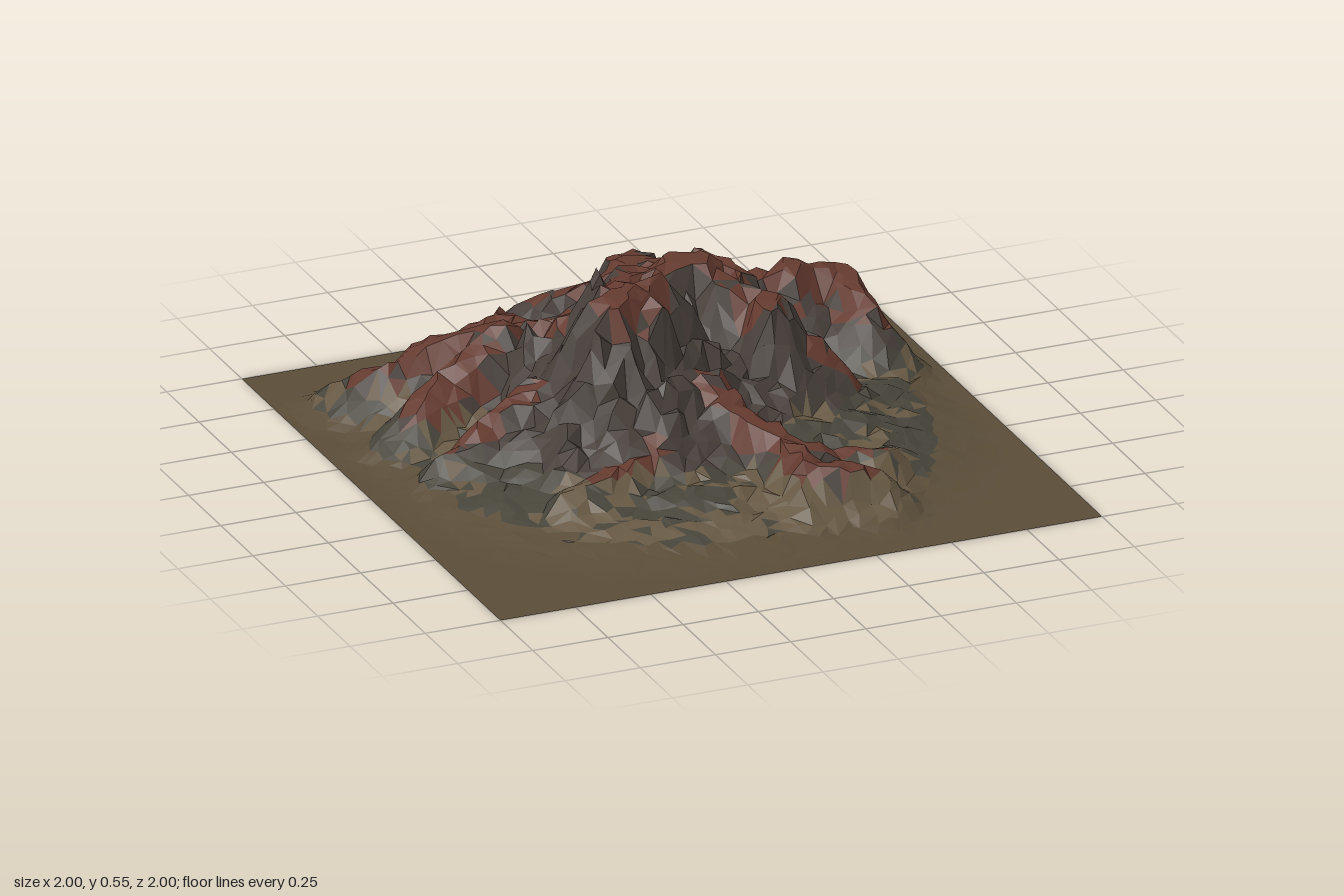
import * as THREE from 'three';

const N = 50; // grid cells per side

// Ridge lines as x, z, height; flanks follow from the height
const RIDGES = [
  [[-0.14, -0.02, 0.545], [-0.11, -0.1, 0.545]],                        // main summit
  [[-0.1, -0.17, 0.46], [0.1, -0.36, 0.45], [0.24, -0.38, 0.45]],       // second summit
  [[0.3, -0.45, 0.41], [0.34, -0.1, 0.4], [0.6, 0.02, 0.13]],           // right shoulder
  [[0.16, -0.4, 0.4], [0.12, -0.62, 0.37], [0.2, -0.76, 0.32]],         // back spine
  [[0.05, -0.6, 0.35], [-0.22, -0.76, 0.2]],
  [[0.3, -0.45, 0.36], [0.46, -0.55, 0.28], [0.6, -0.5, 0.31], [0.78, -0.5, 0.28], [0.8, -0.3, 0.23]], // right hills
  [[0.6, -0.5, 0.3], [0.72, -0.72, 0.21]],
  [[-0.2, -0.18, 0.42], [-0.42, -0.36, 0.34], [-0.76, -0.26, 0.17]],    // left ridges
  [[-0.42, -0.36, 0.34], [-0.64, -0.54, 0.23], [-0.84, -0.66, 0.09]],
  [[-0.25, -0.33, 0.34], [-0.32, -0.6, 0.26], [-0.45, -0.76, 0.13]],
  [[-0.2, -0.02, 0.4], [-0.5, -0.03, 0.24], [-0.76, 0.04, 0.11]],
  [[-0.16, 0.05, 0.36], [-0.22, 0.38, 0.18], [-0.52, 0.43, 0.12]],
  [[-0.02, 0, 0.38], [0.08, 0.24, 0.26], [0.18, 0.46, 0.2], [0.17, 0.64, 0.2], [0.38, 0.7, 0.15]], // front ridge
  [[0.18, 0.46, 0.18], [0.48, 0.5, 0.13]],
];

const hash = (i, j, s) => {
  const v = Math.sin(i * 127.1 + j * 311.7 + s * 74.7) * 43758.5453;
  return v - Math.floor(v);
};

function noise(x, z, s) {
  const i = Math.floor(x), j = Math.floor(z), u = x - i, v = z - j;
  const lerp = THREE.MathUtils.lerp;
  return lerp(lerp(hash(i, j, s), hash(i + 1, j, s), u),
    lerp(hash(i, j + 1, s), hash(i + 1, j + 1, s), u), v) * 2 - 1;
}

// Height of the ground and the distance to the ridge that shapes it
function terrain(x, z) {
  const wx = x + 0.035 * noise(x * 9, z * 9, 1);
  const wz = z + 0.035 * noise(x * 9, z * 9, 2);
  const rough = 1 + 0.2 * noise(x * 13, z * 13, 3) + 0.2 * noise(x * 25, z * 25, 4);
  const edge = 1 - Math.max(Math.abs(x), Math.abs(z));
  // Gentle apron around the mountain, rounded at the corners
  const apron = 1 - THREE.MathUtils.smoothstep(Math.hypot(x, z), 0.45, 1.05);
  let h = 0.1 * rough * apron, near = 1;
  for (const ridge of RIDGES) {
    for (let k = 1; k < ridge.length; k++) {
      const [x1, z1, h1] = ridge[k - 1], [x2, z2, h2] = ridge[k];
      const dx = x2 - x1, dz = z2 - z1;
      const t = THREE.MathUtils.clamp(((wx - x1) * dx + (wz - z1) * dz) / (dx * dx + dz * dz), 0, 1);
      const crest = h1 + (h2 - h1) * t;
      const top = 0.01 + 0.15 * crest * crest; // flat crown
      const foot = 0.18 + 2 * crest * crest;   // width of the flank
      const d = Math.max(0, Math.hypot(wx - x1 - t * dx, wz - z1 - t * dz) - top);
      if (d >= foot) continue;
      const y = Math.min(crest, crest * 1.04 * rough * (1 - d / foot) ** 2.1);
      if (y > h) { h = y; near = d; }
    }
  }
  // Fade to the flat square border
  return { h: h * THREE.MathUtils.smoothstep(edge, 0, 0.2), near };
}

const COLORS = {
  redRock: 0x643a2f, darkRock: 0x473f3a, oliveSlope: 0x47443a, sandySlope: 0x665843, flatGround: 0x5a4d39,
};

// Surface type of one facet, with ragged borders between the types
function facetKind({ x, y, z }) {
  const n = noise(x * 8, z * 8, 7) + 0.8 * noise(x * 30, z * 30, 8);
  if (y < 0.035) return 'flatGround';
  if (y < 0.12 + 0.02 * n) return n + (Math.abs(z) > 0.6 ? 0.5 : -0.4) > 0.1 ? 'sandySlope' : 'oliveSlope';
  return terrain(x, z).near < 0.04 + 0.06 * n ? 'redRock' : 'darkRock';
}

export function createModel() {
  const group = new THREE.Group();
  group.name = 'mountainTerrain';

  // Irregular grid of ground points with a straight border
  const points = [];
  const place = (i, j, s) => -1 + 2 * (i + (i > 0 && i < N ? (hash(i, j, s) - 0.5) * 0.8 : 0)) / N;
  for (let j = 0; j <= N; j++) {
    for (let i = 0; i <= N; i++) {
      const x = place(i, j, 5), z = place(j, i, 6);
      points.push(new THREE.Vector3(x, terrain(x, z).h, z));
    }
  }

  // Sort the facets into surface types
  const facets = {};
  const addFacet = (a, b, c) => {
    const middle = new THREE.Vector3().add(a).add(b).add(c).divideScalar(3);
    (facets[facetKind(middle)] ??= []).push(a, b, c);
  };
  for (let j = 0; j < N; j++) {
    for (let i = 0; i < N; i++) {
      const k = j * (N + 1) + i;
      const a = points[k], b = points[k + 1], c = points[k + N + 1], d = points[k + N + 2];
      // Split along the diagonal with the smaller height change
      if (Math.abs(a.y - d.y) < Math.abs(b.y - c.y)) {
        addFacet(a, c, d);
        addFacet(a, d, b);
      } else {
        addFacet(a, c, b);
        addFacet(b, c, d);
      }
    }
  }

  // One open, faceted mesh per surface type
  for (const [name, corners] of Object.entries(facets)) {
    const geometry = new THREE.BufferGeometry().setFromPoints(corners);
    geometry.computeVertexNormals();
    const mesh = new THREE.Mesh(geometry, new THREE.MeshStandardMaterial({
      color: COLORS[name], flatShading: true, side: THREE.DoubleSide,
    }));
    mesh.name = name;
    group.add(mesh);
  }
  return group;
}
